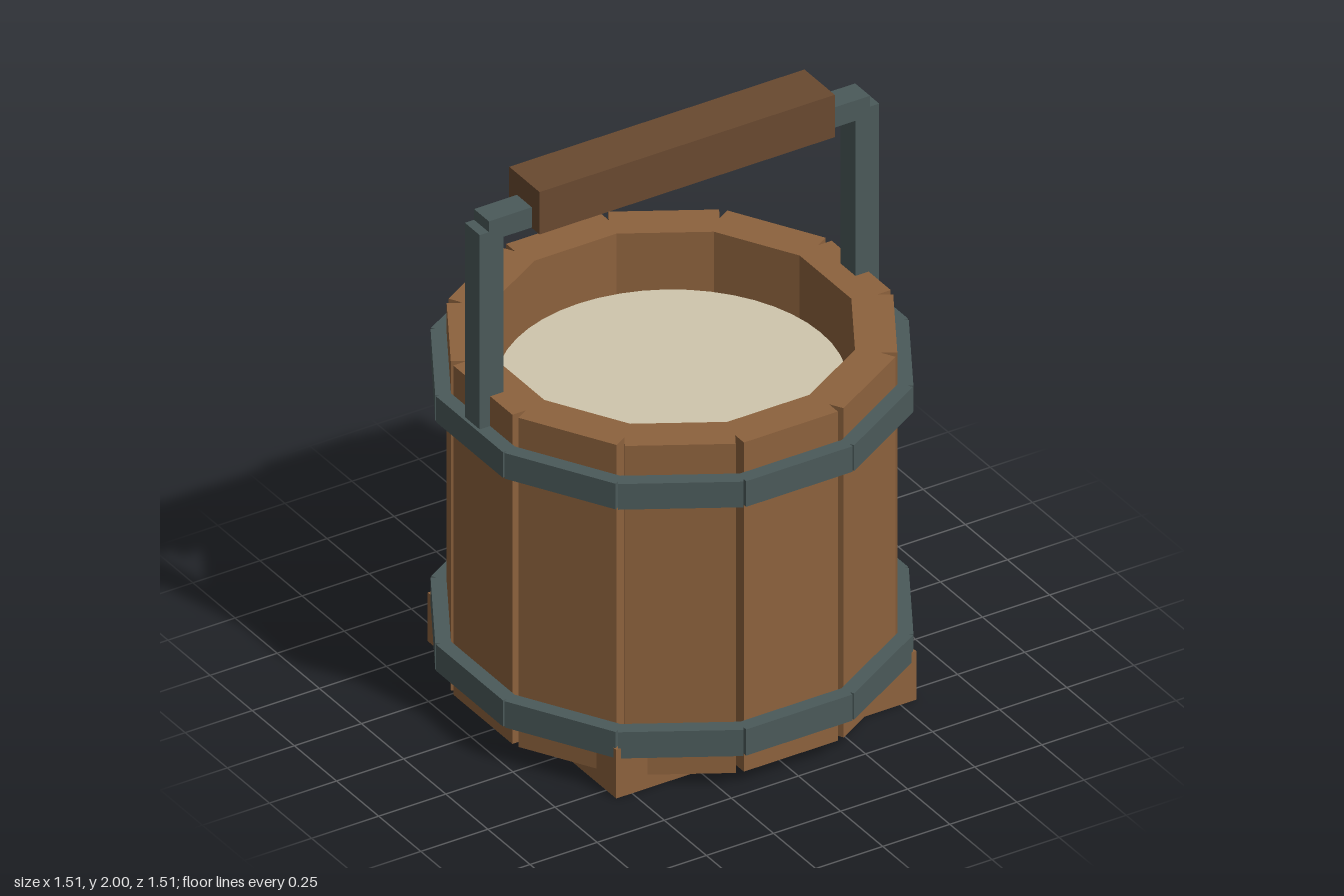
import * as THREE from 'three';

const material = (name, color) => {
  const m = new THREE.MeshStandardMaterial({ color });
  m.name = name;
  return m;
};

export function createModel() {
  const wood = material('stave wood', 0x8d623d);
  const darkWood = material('grip wood', 0x694930);
  const iron = material('dark iron', 0x4b5a5a);
  const cream = material('cream contents', 0xcfc6ad);

  const bucket = new THREE.Group();
  bucket.name = 'bucket';

  const add = (parent, name, geometry, mat, x = 0, y = 0, z = 0) => {
    const mesh = new THREE.Mesh(geometry, mat);
    mesh.name = name;
    mesh.position.set(x, y, z);
    parent.add(mesh);
    return mesh;
  };

  // Box given by its lower and upper heights
  const slab = (parent, name, mat, w, y0, y1, d, x = 0, z = 0) =>
    add(parent, name, new THREE.BoxGeometry(w, y1 - y0, d), mat, x, (y0 + y1) / 2, z);

  // Twelve flat boards set around the centre, facing outwards
  const ring = (name, mat, w, y0, y1, inner, outer) => {
    const group = new THREE.Group();
    group.name = name + 's';
    for (let i = 0; i < 12; i++) {
      const a = (i * Math.PI) / 6;
      const r = (inner + outer) / 2;
      const board = slab(group, name, mat, w, y0, y1, outer - inner, Math.sin(a) * r, Math.cos(a) * r);
      board.rotation.y = a;
    }
    bucket.add(group);
  };

  // Wooden wall and the two iron hoops
  ring('stave', wood, 0.35, 0.05, 1.27, 0.572, 0.705);
  ring('lowerHoopPlate', iron, 0.396, 0.143, 0.24, 0.705, 0.755);
  ring('upperHoopPlate', iron, 0.396, 1.065, 1.16, 0.705, 0.755);

  // Square base, its corners showing between the staves and the lower hoop
  slab(bucket, 'base', wood, 1.118, 0, 0.18, 1.118);

  // Round surface of the contents
  add(bucket, 'contents', new THREE.CylinderGeometry(0.555, 0.555, 0.04, 48), cream, 0, 1.05, 0);

  // Handle: two posts, two short arms and a wooden grip
  const handle = new THREE.Group();
  handle.name = 'handle';
  bucket.add(handle);
  for (const side of [1, -1]) {
    slab(handle, 'handlePost', iron, 0.088, 1.09, 1.88, 0.088, side * 0.7);
    slab(handle, 'handleArm', iron, 0.21, 1.845, 1.92, 0.088, side * 0.605);
  }
  slab(handle, 'grip', darkWood, 1.1, 1.843, 2, 0.18);

  return bucket;
}
